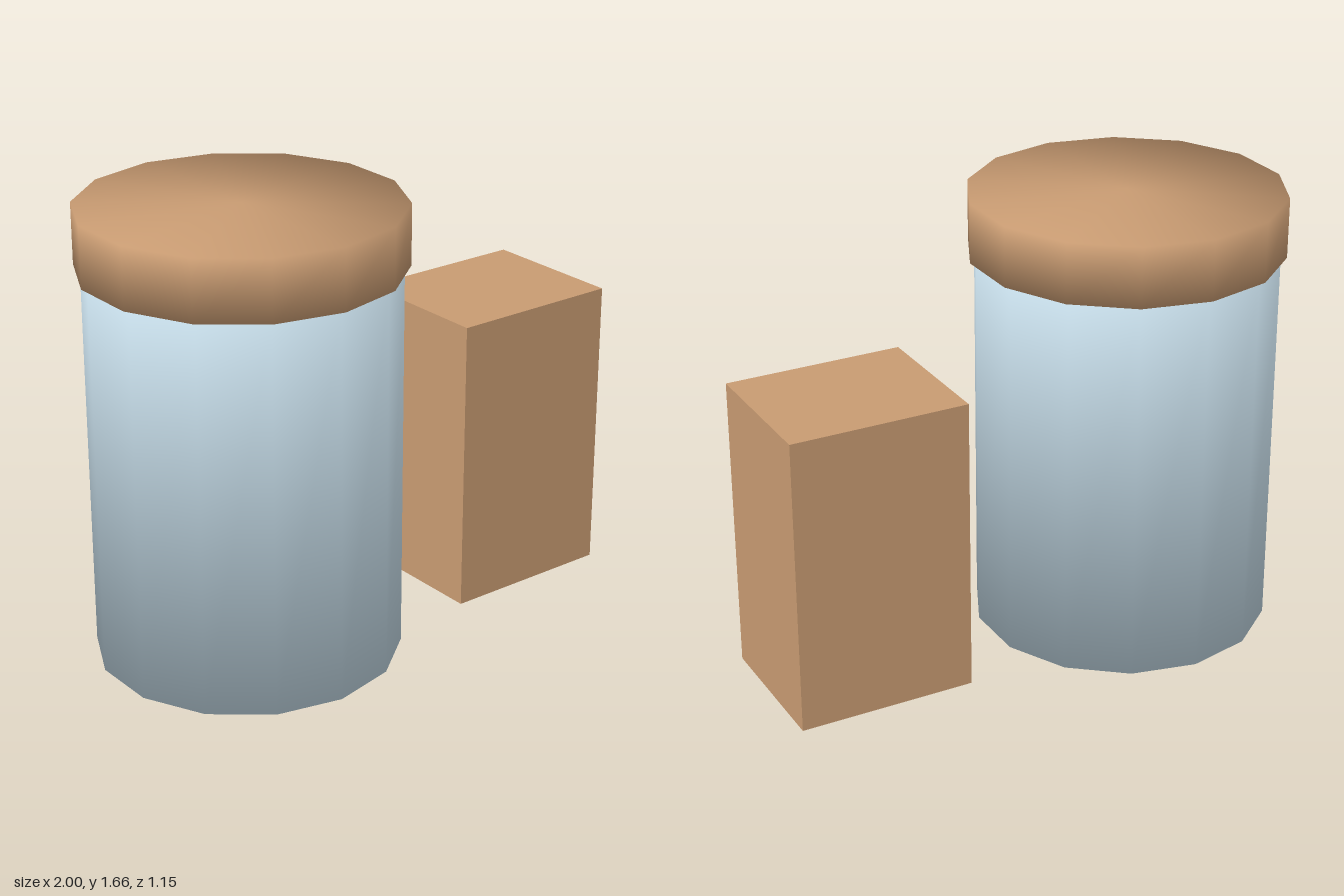
import * as THREE from 'three';

const SIDES = 14;

// Closed drum whose normals round softly over the rims
function softDrum(radius, bottom, top) {
  const geo = new THREE.CylinderGeometry(radius, radius, top - bottom, SIDES);
  const pos = geo.attributes.position;
  const normal = geo.attributes.normal;
  for (let i = 0; i < pos.count; i++) {
    normal.setXYZ(i, pos.getX(i) / radius, Math.sign(pos.getY(i)) * 0.82, pos.getZ(i) / radius);
  }
  geo.translate(0, (bottom + top) / 2, 0);
  return geo;
}

export function createModel() {
  const group = new THREE.Group();
  const paleBlue = new THREE.MeshStandardMaterial({ color: 0xc2d8e4 });
  paleBlue.name = 'paleBlue';
  const tan = new THREE.MeshStandardMaterial({ color: 0xc89b72 });
  tan.name = 'tan';

  const add = (name, geometry, material, x) => {
    const mesh = new THREE.Mesh(geometry, material);
    mesh.name = name;
    mesh.position.x = x;
    group.add(mesh);
  };

  // Jar with its overhanging lid
  add('jarBody', softDrum(0.553, 0, 1.45), paleBlue, -0.44);
  add('jarLid', softDrum(0.575, 1.44, 1.662), tan, -0.44);

  // Upright block beside the jar
  const block = new THREE.BoxGeometry(0.662, 1.108, 0.552);
  block.translate(0, 0.554, 0);
  add('block', block, tan, 0.669);

  return group;
}
